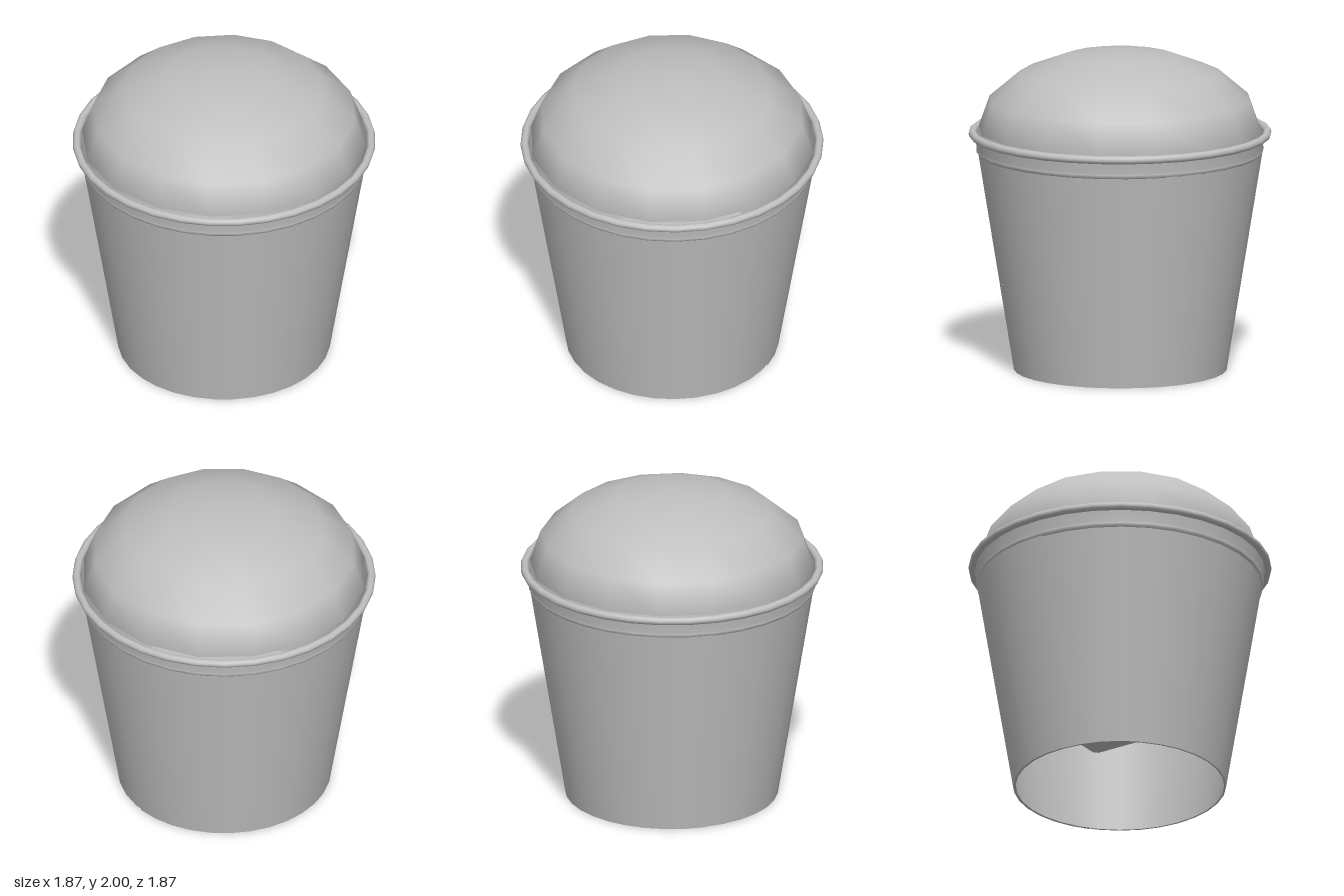
import * as THREE from 'three';

const grey = new THREE.MeshStandardMaterial({ color: 0xbfbfbf, side: THREE.DoubleSide });
grey.name = 'plain grey';

const SIDES = 32;
const RIM_Y = 1.48;

// Radius of the tapered wall at height y
const wallRadius = (y) => 0.655 + 0.162 * y;

function add(group, name, geometry, y = 0) {
  const mesh = new THREE.Mesh(geometry, grey);
  mesh.name = name;
  mesh.position.y = y;
  group.add(mesh);
  return mesh;
}

const lathe = (points, sides = SIDES, start = 0, length = Math.PI * 2) =>
  new THREE.LatheGeometry(points.map(([r, y]) => new THREE.Vector2(r, y)), sides, start, length);

export function createModel() {
  const cup = new THREE.Group();
  cup.name = 'cupWithDome';

  // Thin paper wall: outside, bottom edge and inside as separate smooth surfaces
  add(cup, 'outerWall', lathe([[wallRadius(0), 0], [wallRadius(1.36), 1.36]]));
  add(cup, 'bottomEdge', lathe([[wallRadius(0) - 0.012, 0], [wallRadius(0), 0]]));
  add(cup, 'innerWall', lathe([[wallRadius(0) - 0.012, 0], [wallRadius(RIM_Y) - 0.012, RIM_Y]]));

  // Collar with a shallow stepped ridge below the rim
  add(cup, 'collar', lathe([
    [wallRadius(1.355), 1.355], [wallRadius(1.36) + 0.009, 1.365],
    [wallRadius(1.38) + 0.009, 1.38], [wallRadius(1.39) + 0.003, 1.39],
    [wallRadius(RIM_Y) + 0.003, RIM_Y],
  ]));

  // Overlapping layer of the wrapped wall
  const deg = THREE.MathUtils.degToRad;
  add(cup, 'wallOverlap', lathe(
    [[wallRadius(0), 0], [wallRadius(0) + 0.005, 0], [wallRadius(1.36) + 0.005, 1.36]],
    12, deg(185), deg(130)));

  // Rolled rim
  const rim = new THREE.TorusGeometry(0.91, 0.025, 10, SIDES);
  rim.rotateX(Math.PI / 2);
  add(cup, 'rolledRim', rim, RIM_Y);

  // Raised floor inside the cup
  const floor = new THREE.CircleGeometry(0.75, 4);
  floor.rotateX(Math.PI / 2);
  add(cup, 'innerFloor', floor, 0.56);

  // Flattened dome on top
  const dome = new THREE.SphereGeometry(0.88, 16, 4, 0, Math.PI * 2, 0, Math.PI / 2);
  dome.scale(1, 0.5 / 0.88, 1);
  add(cup, 'dome', dome, 1.5);

  return cup;
}
